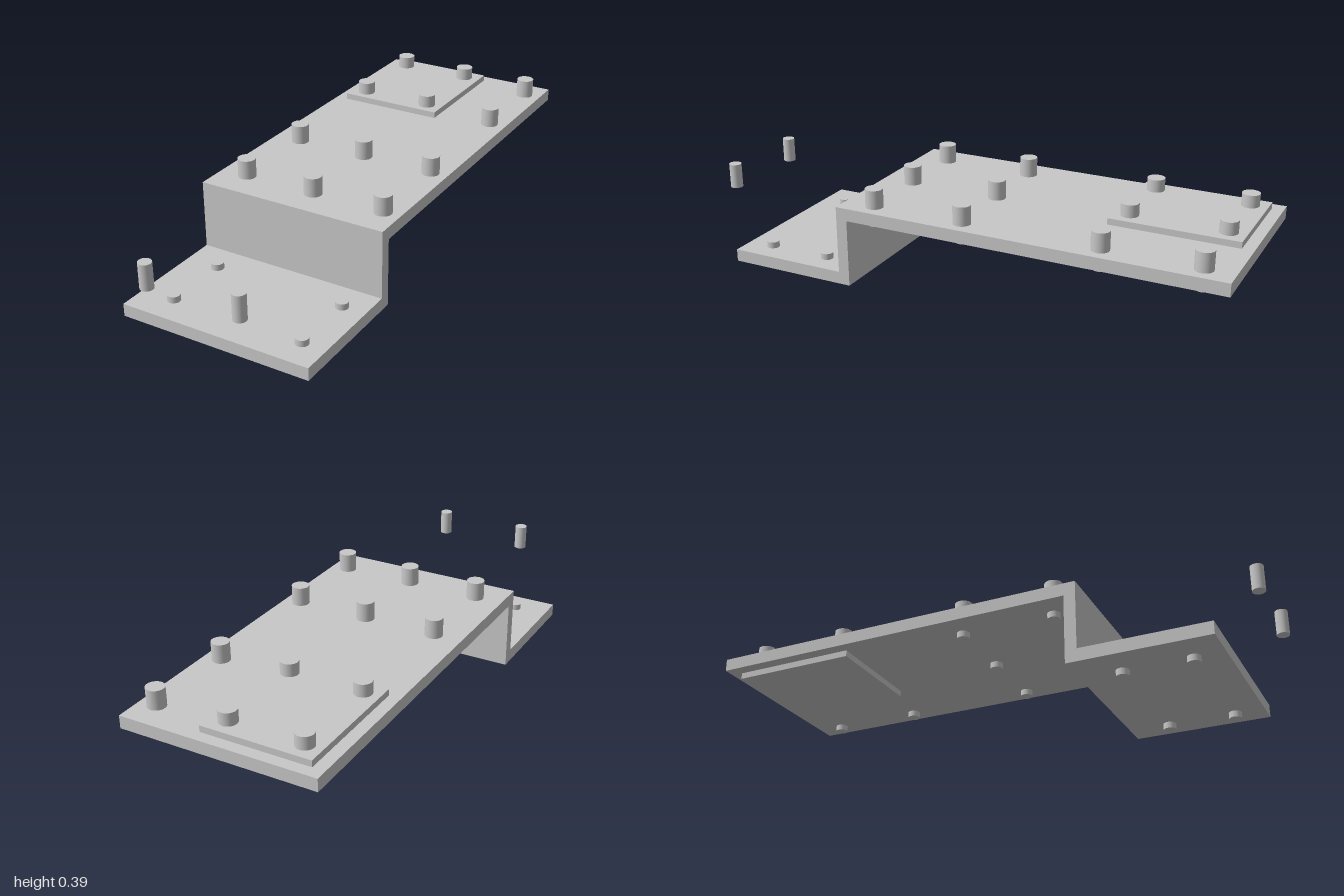
import * as THREE from 'three';

export function createModel() {
  const group = new THREE.Group();
  group.name = 'steppedBracket';
  const grey = new THREE.MeshStandardMaterial({ color: 0xc8c8c8 });
  grey.name = 'lightGrey';

  const add = (geometry, name, x = 0, y = 0, z = 0) => {
    const mesh = new THREE.Mesh(geometry, grey);
    mesh.name = name;
    mesh.position.set(x, y, z);
    group.add(mesh);
  };
  // Vertical cylinder spanning y0 to y1
  const pin = (name, r, x, z, y0, y1) =>
    add(new THREE.CylinderGeometry(r, r, y1 - y0, 40), name, x, (y0 + y1) / 2, z);

  // Z-shaped plate: side profile (z, y) extruded across the width
  const width = 0.714;
  const profile = new THREE.Shape([
    [0.87, 0.023], [0.87, 0.069], [0.416, 0.069], [0.416, 0.319],
    [-1, 0.319], [-1, 0.273], [0.374, 0.273], [0.374, 0.023],
  ].map(([z, y]) => new THREE.Vector2(-z, y)));
  const plate = new THREE.ExtrudeGeometry(profile, { depth: width, bevelEnabled: false });
  plate.translate(0, 0, -width / 2).rotateY(Math.PI / 2);
  add(plate, 'steppedPlate');

  // Square pad through the rear of the upper deck
  add(new THREE.BoxGeometry(0.396, 0.092, 0.463), 'pad', -0.115, 0.296, -0.7265);

  // Upper deck: wide heads with narrow shanks showing below
  for (const z of [-0.896, -0.552, -0.05, 0.296]) {
    for (const x of [-0.252, 0.02, 0.292]) {
      pin('boltHead', 0.032, x, z, 0.295, 0.388);
      pin('boltShank', 0.023, x, z, 0.2505, 0.34);
    }
  }

  // Lower deck pins
  for (const z of [0.525, 0.766]) {
    for (const x of [-0.229, 0.269]) pin('lowerPin', 0.023, x, z, 0, 0.092);
  }

  // Loose pins ahead of the lower deck
  for (const x of [-0.153, 0.193]) pin('loosePin', 0.023, x, 0.977, 0.25, 0.342);

  return group;
}
